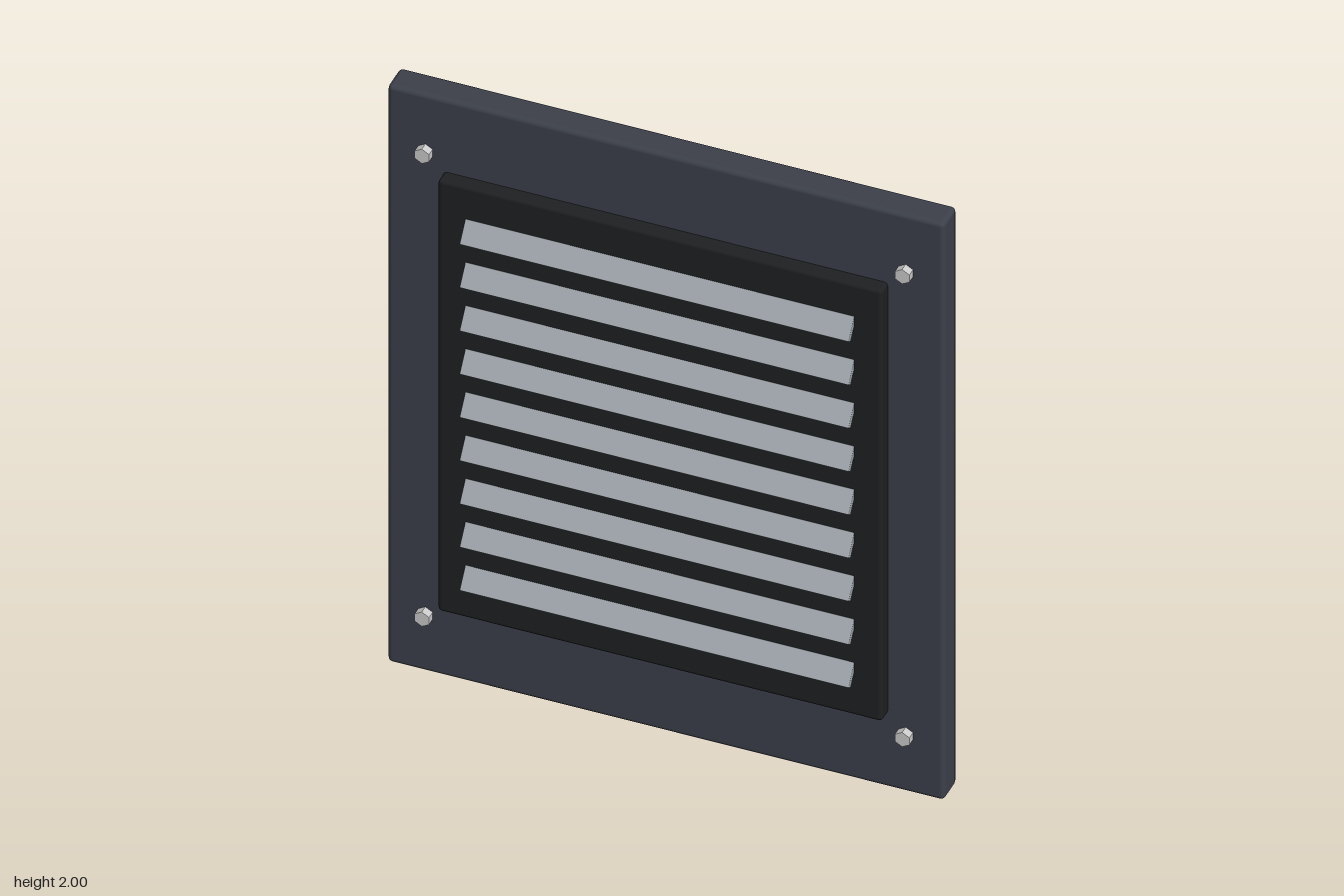
import * as THREE from 'three';
import { RoundedBoxGeometry } from 'three/addons/geometries/RoundedBoxGeometry.js';

const paint = (color) => new THREE.MeshStandardMaterial({ color });

export function createModel() {
  const group = new THREE.Group();
  const plateMat = paint(0x3c404a);
  const panelMat = paint(0x1e2022);
  const slatMat = paint(0x9fa6ab);
  const screwMat = paint(0xcccccc);

  const add = (name, geometry, material, x, y, z) => {
    const mesh = new THREE.Mesh(geometry, material);
    mesh.name = name;
    mesh.position.set(x, y, z);
    group.add(mesh);
    return mesh;
  };

  // Back plate with softened edges
  add('backPlate', new RoundedBoxGeometry(1.66, 2, 0.093, 2, 0.014), plateMat, 0, 1, -0.0425);

  // Raised dark panel, set slightly into the plate
  add('ventPanel', new RoundedBoxGeometry(1.325, 1.495, 0.06, 2, 0.012), panelMat, 0, 1.003, 0.017);

  // Nine louvre slats, lower edge tilted outward
  const slatGeo = new RoundedBoxGeometry(1.16, 0.074, 0.022, 2, 0.003);
  for (let i = 0; i < 9; i++) {
    const slat = add(`slat${i + 1}`, slatGeo, slatMat, 0, 1.005 + (i - 4) * 0.15, 0.059);
    slat.rotation.x = -0.62;
  }

  // Hexagonal screw heads in the four corners
  const screwGeo = new THREE.CylinderGeometry(0.025, 0.025, 0.04, 6).toNonIndexed();
  screwGeo.computeVertexNormals();
  screwGeo.rotateX(Math.PI / 2);
  for (const x of [-0.716, 0.716]) {
    for (const y of [0.2, 1.805]) add('screw', screwGeo, screwMat, x, y, 0.01);
  }

  return group;
}
